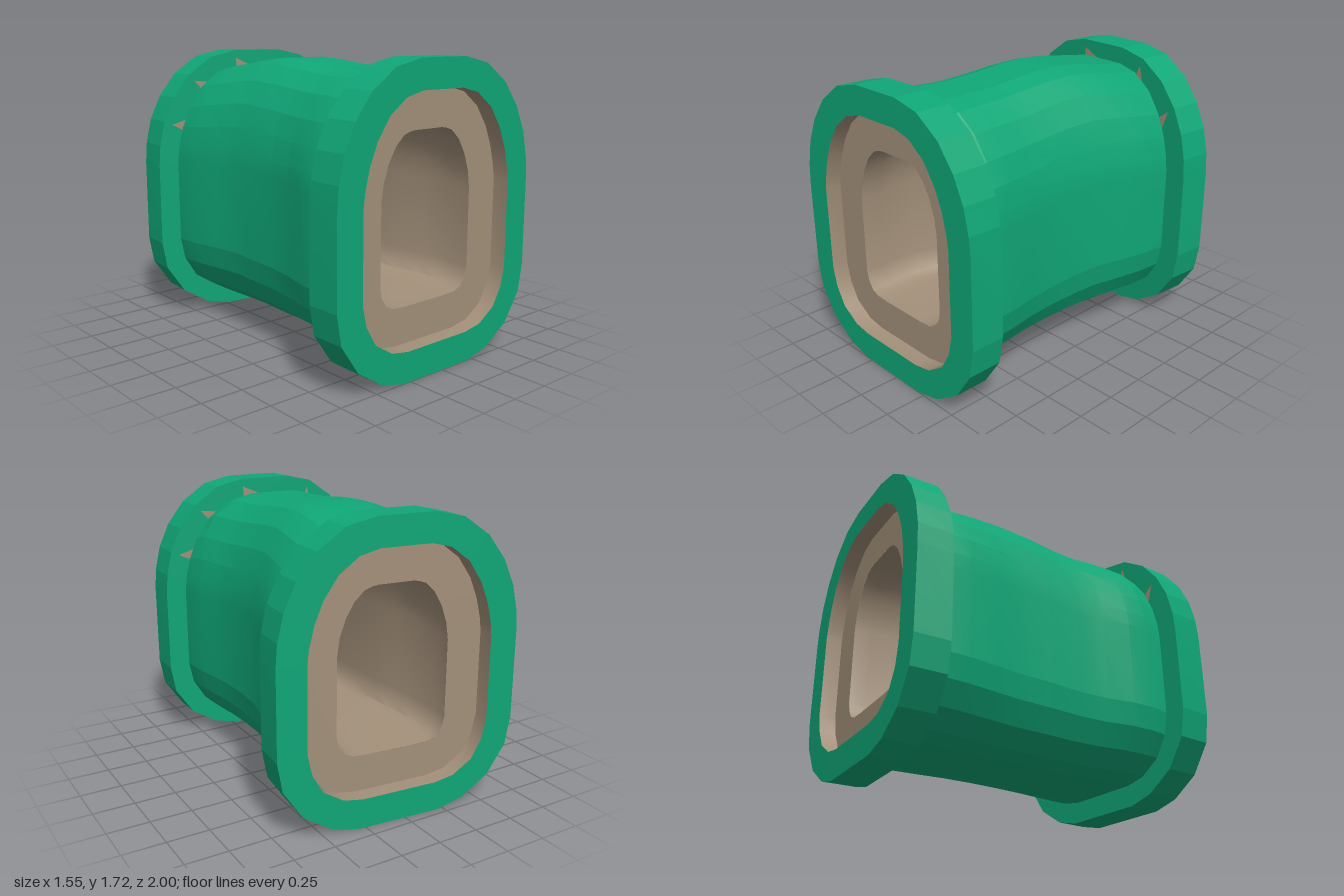
import * as THREE from 'three';
import { toCreasedNormals } from 'three/addons/utils/BufferGeometryUtils.js';

// Half outlines, bottom to top; mirrored into full counter-clockwise rings
const mirror = (half) => [...half, ...half.map(([x, y]) => [-x, y]).reverse()];
const COLLAR = mirror([[0.26, 0], [0.42, 0.04], [0.59, 0.15], [0.705, 0.32], [0.735, 0.49], [0.735, 1],
  [0.725, 1.13], [0.69, 1.28], [0.62, 1.43], [0.51, 1.57], [0.35, 1.68], [0.17, 1.72]]);
const OPENING = mirror([[0.23, 0.175], [0.35, 0.195], [0.47, 0.27], [0.535, 0.38], [0.563, 0.5], [0.563, 1],
  [0.553, 1.08], [0.523, 1.2], [0.473, 1.32], [0.39, 1.44], [0.275, 1.525], [0.155, 1.555]]);
const HOLE = mirror([[0.155, 0.385], [0.245, 0.39], [0.295, 0.41], [0.33, 0.46], [0.345, 0.52], [0.345, 0.98],
  [0.33, 1.08], [0.295, 1.18], [0.245, 1.265], [0.185, 1.32], [0.14, 1.335], [0.105, 1.34]]);
const mix = (a, b, t) => a.map((v, i) => v + (b[i] - v) * t);
const BODY = COLLAR.map((p, i) => mix(p, OPENING[i], 0.75));

// Stations along the pipe: z, right edge, left edge, top
const STATIONS = [
  [0.9, -0.645, 0.56, 1.6], [0.78, -0.645, 0.56, 1.61], [0.68, -0.645, 0.56, 1.64],
  [0.55, -0.63, 0.55, 1.645], [0.38, -0.585, 0.525, 1.645], [0.2, -0.56, 0.515, 1.66],
  [0, -0.555, 0.52, 1.68], [-0.18, -0.545, 0.535, 1.69], [-0.35, -0.56, 0.57, 1.675],
  [-0.55, -0.58, 0.605, 1.645], [-0.74, -0.58, 0.615, 1.62], [-0.835, -0.569, 0.631, 1.6],
];
const TILT = 0.089;
const DEPTH = 0.21;
const RECESS = 0.1;

// Skin a series of rings of equal point count
function loft(rings, crease) {
  const n = rings[0].length;
  const index = [];
  for (let i = 0; i < rings.length - 1; i++) {
    for (let j = 0; j < n; j++) {
      const a = i * n + j, b = i * n + (j + 1) % n;
      index.push(a, b, b + n, a, b + n, a + n);
    }
  }
  const geo = new THREE.BufferGeometry();
  geo.setAttribute('position', new THREE.Float32BufferAttribute(rings.flat(2), 3));
  geo.setIndex(index);
  return toCreasedNormals(geo, crease);
}

const flatRing = (outline, z) => outline.map(([x, y]) => [x, y, z]);

// Fit an outline to each station, turning gradually towards the tilted back end
function pipeRings(outline, inset, baseHalf) {
  return STATIONS.map(([z, x0, x1, top]) => {
    const centre = (x0 + x1) / 2;
    const scale = ((x1 - x0) / 2 - inset) / baseHalf;
    const tilt = TILT * THREE.MathUtils.clamp((0.78 - z) / 1.52, 0, 1);
    return outline.map(([x, y]) => [
      centre + x * scale,
      y + (top - 1.6) * (y - 0.13) / 1.47,
      z + x * scale * tilt,
    ]);
  });
}

export function createModel() {
  const group = new THREE.Group();
  const green = new THREE.MeshStandardMaterial({ name: 'green', color: 0x10a777 });
  const tan = new THREE.MeshStandardMaterial({ name: 'tan', color: 0xa3907a });
  const add = (parent, name, geo, mat) => {
    const mesh = new THREE.Mesh(geo, mat);
    mesh.name = name;
    parent.add(mesh);
  };

  // Waisted outer pipe and its inner tunnel
  add(group, 'pipeBody', loft(pipeRings(BODY, 0, 0.606).reverse(), 0.16), green);
  add(group, 'innerTunnel', loft(pipeRings(HOLE, 0.2575, 0.345), 0.6), tan);

  // Collar with outer face at z = 0
  const collarGeo = loft([
    flatRing(OPENING, -DEPTH), flatRing(COLLAR, -DEPTH), flatRing(COLLAR, 0), flatRing(OPENING, 0),
  ], 0.1);
  const recessGeo = loft([
    flatRing(OPENING, 0), flatRing(OPENING, -RECESS), flatRing(HOLE, -RECESS),
  ], 0.5);

  // Small tan chips on the collar's inner face, around the top of the pipe
  const chips = [];
  for (let j = 7; j <= 15; j += 2) {
    const a = BODY[j], b = mix(BODY[j], BODY[j + 1], 0.5);
    const apex = mix(a, COLLAR[j], 0.6);
    for (const p of [a, b, apex]) chips.push(...p, -DEPTH - 0.002);
  }
  const chipGeo = new THREE.BufferGeometry();
  chipGeo.setAttribute('position', new THREE.Float32BufferAttribute(chips, 3));
  chipGeo.computeVertexNormals();

  // Straight front end and slightly turned back end
  for (const [name, x, z, turn] of [['frontEnd', -0.042, 1, 0], ['backEnd', 0.04, -0.935, Math.PI - TILT]]) {
    const end = new THREE.Group();
    end.name = name;
    end.position.set(x, 0, z);
    end.rotation.y = turn;
    add(end, 'collar', collarGeo, green);
    add(end, 'recess', recessGeo, tan);
    add(end, 'chips', chipGeo, tan);
    group.add(end);
  }
  return group;
}
